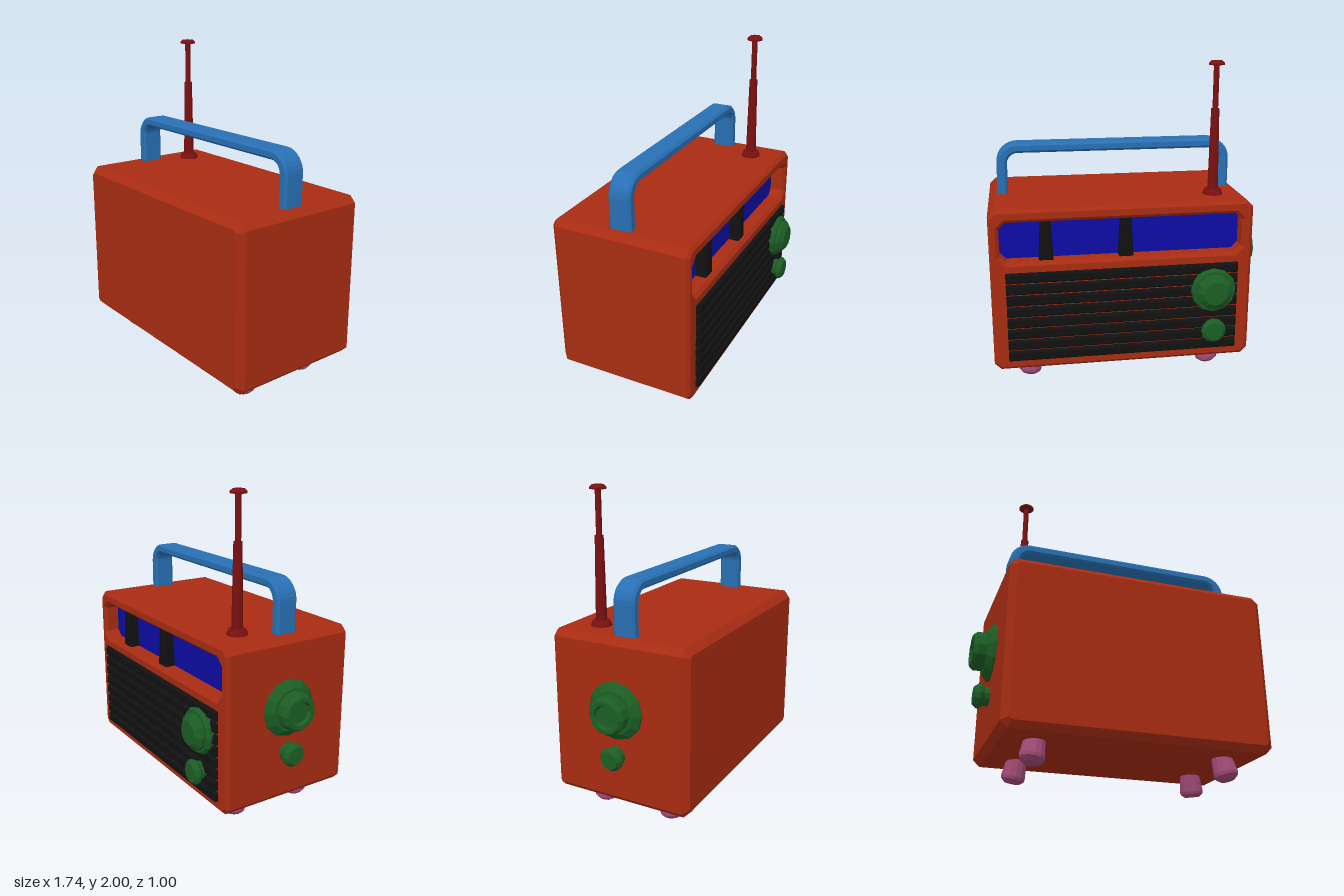
import * as THREE from 'three';

const mat = (color) => new THREE.MeshStandardMaterial({ color, flatShading: true });
const RED = mat(0xa82c12), BLUE = mat(0x2870b4), DIAL = mat(0x0c0ca4), GREEN = mat(0x1b5e24),
  MAROON = mat(0x7a1010), PINK = mat(0xa04a78), BLACK = mat(0x111111);

// Rectangle with cut corners
function cutRect(x0, x1, y0, y1, c, Type = THREE.Shape) {
  return new Type([[x0 + c, y0], [x1 - c, y0], [x1, y0 + c], [x1, y1 - c],
    [x1 - c, y1], [x0 + c, y1], [x0, y1 - c], [x0, y0 + c]].map(([x, y]) => new THREE.Vector2(x, y)));
}

// Extrusion between two z positions with a chamfer kept inside the outline
function slab(shape, z0, z1, bevel, curveSegments = 4) {
  const geo = new THREE.ExtrudeGeometry(shape, {
    depth: z1 - z0 - 2 * bevel, bevelEnabled: bevel > 0, bevelThickness: bevel,
    bevelSize: bevel, bevelOffset: -bevel, bevelSegments: 1, curveSegments,
  });
  return geo.translate(0, 0, z0 + bevel);
}

const turned = (points, sides) =>
  new THREE.LatheGeometry(points.map(([r, y]) => new THREE.Vector2(r, y)), sides);

export function createModel() {
  const model = new THREE.Group();
  const add = (name, geo, material, x = 0, y = 0, z = 0) => {
    const mesh = new THREE.Mesh(geo, material);
    mesh.name = name;
    mesh.position.set(x, y, z);
    model.add(mesh);
    return mesh;
  };

  // Case: chamfered block plus a face frame with the dial opening
  add('case', slab(cutRect(-0.75, 0.87, 0.14, 1.17, 0.04), -0.29, 0.5, 0.04), RED);
  const frame = cutRect(-0.75, 0.87, 0.14, 1.17, 0.04);
  frame.holes.push(cutRect(-0.68, 0.81, 0.84, 1.09, 0.04, THREE.Path));
  add('faceFrame', slab(frame, -0.4, -0.23, 0.02), RED);

  // Dial window with two tapered pointers
  add('dialPanel', new THREE.BoxGeometry(1.51, 0.27, 0.02), DIAL, 0.065, 0.965, -0.29);
  for (const x of [0.53, 0.04]) {
    const pointer = new THREE.Shape([[-0.045, 0.835], [0.045, 0.835], [0.03, 1.095], [-0.03, 1.095]]
      .map(([px, py]) => new THREE.Vector2(px, py)));
    add('dialPointer', slab(pointer, -0.37, -0.29, 0.01), BLACK, x);
  }

  // Speaker grille slats
  const slatGeo = slab(cutRect(-0.66, 0.78, -0.032, 0.032, 0.004), -0.425, -0.38, 0.014);
  for (let i = 0; i < 8; i++) add('grilleSlat', slatGeo, BLACK, 0, 0.235 + i * 0.073, 0);

  // Carrying handle: a rounded arch
  const arch = new THREE.Shape();
  arch.moveTo(-0.69, 1.15).lineTo(-0.69, 1.36);
  arch.absarc(-0.56, 1.36, 0.13, Math.PI, Math.PI / 2, true);
  arch.absarc(0.68, 1.36, 0.13, Math.PI / 2, 0, true);
  arch.lineTo(0.81, 1.15).lineTo(0.745, 1.15);
  arch.absarc(0.675, 1.36, 0.07, 0, Math.PI / 2, false);
  arch.absarc(-0.555, 1.36, 0.07, Math.PI / 2, Math.PI, false);
  arch.lineTo(-0.625, 1.15);
  add('handle', slab(arch, -0.012, 0.13, 0.014, 4), BLUE);

  // Telescopic antenna
  add('antenna', turned([[0.064, 0], [0.06, 0.015], [0.05, 0.035], [0.034, 0.035], [0.026, 0.54],
    [0.018, 0.54], [0.018, 0.8], [0.05, 0.805], [0.05, 0.815], [0.034, 0.83], [0, 0.83]], 12),
    MAROON, -0.54, 1.17, -0.19);

  // Side knobs, facing -x
  const sideKnobs = [
    add('sideDial', turned([[0.18, 0], [0.178, 0.01], [0.135, 0.045], [0.118, 0.045], [0.118, 0.1],
      [0.1, 0.122], [0.075, 0.122], [0.065, 0.1], [0, 0.1]], 12), GREEN, -0.75, 0.737, 0.035),
    add('sideButton', turned([[0.058, 0], [0.058, 0.03], [0.075, 0.05], [0.075, 0.065],
      [0.055, 0.09], [0, 0.09]], 12), GREEN, -0.75, 0.455, 0.035),
  ];
  sideKnobs.forEach((k) => { k.rotation.z = Math.PI / 2; });

  // Face knobs, facing -z
  const faceKnobs = [
    add('tuningKnob', turned([[0.14, 0], [0.143, 0.04], [0.13, 0.055], [0.115, 0.055],
      [0.115, 0.075], [0.075, 0.105], [0, 0.105]], 12), GREEN, -0.5, 0.61, -0.4),
    add('volumeKnob', turned([[0.058, 0], [0.058, 0.04], [0.078, 0.06], [0.078, 0.075],
      [0.06, 0.092], [0, 0.092]], 12), GREEN, -0.5, 0.35, -0.4),
  ];
  faceKnobs.forEach((k) => { k.rotation.x = -Math.PI / 2; });

  // Four splayed feet
  const footGeo = turned([[0, -0.138], [0.045, -0.138], [0.07, -0.118], [0.074, -0.1],
    [0.06, 0.02], [0, 0.02]], 12);
  for (const sx of [-1, 1]) {
    for (const sz of [-1, 1]) {
      const foot = add('foot', footGeo, PINK, 0.06 + sx * 0.575, 0.146, 0.045 + sz * 0.227);
      foot.rotation.set(-sz * 0.15, 0, sx * 0.15);
    }
  }
  return model;
}
